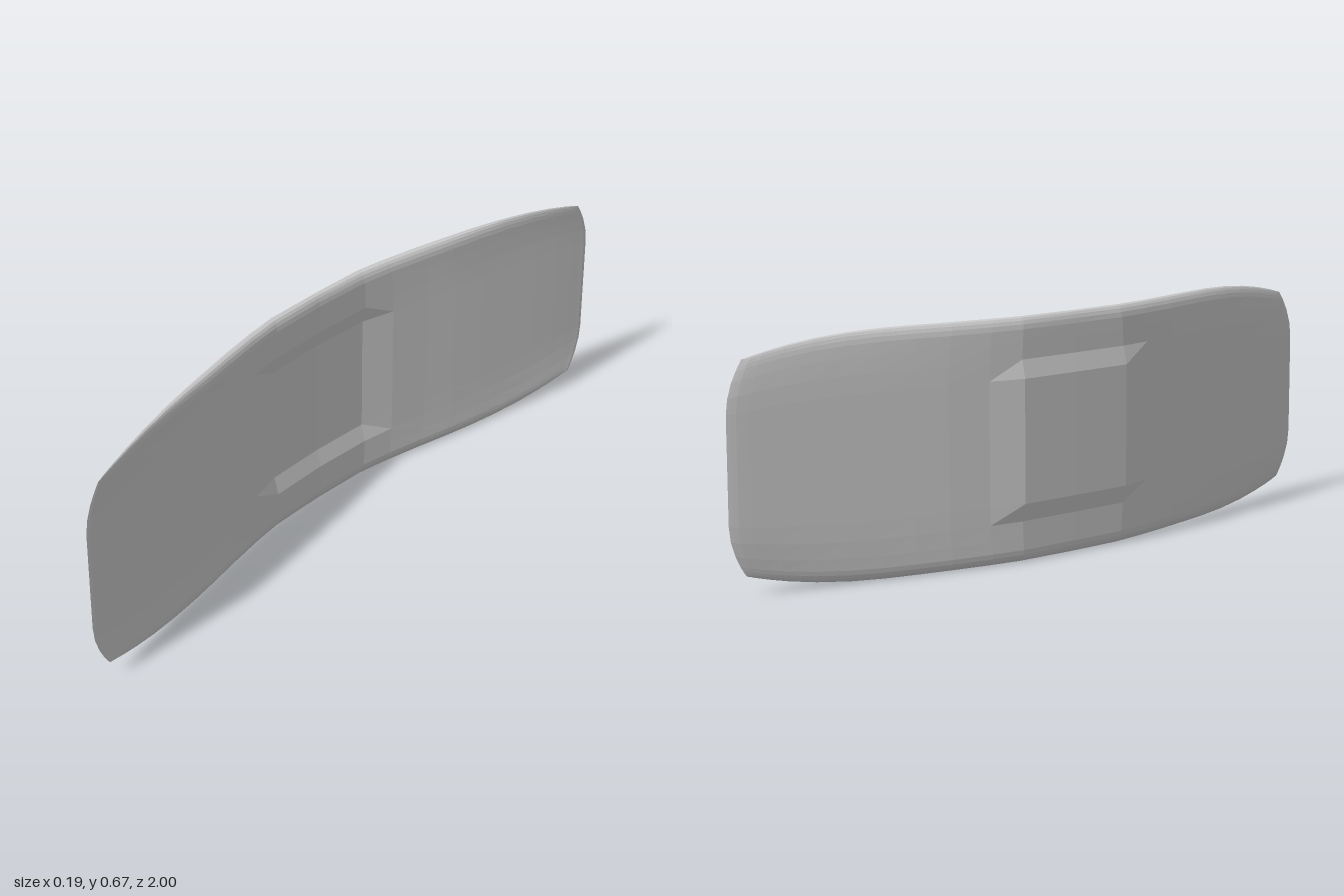
import * as THREE from 'three';

// Curved panel in plan: [z, outer x, inner x], mirrored about z = 0
const PLAN = [
  [0, -0.083, -0.05], [0.18, -0.082, -0.044], [0.28, -0.068, -0.03], [0.4, -0.046, -0.008],
  [0.5, -0.024, 0.012], [0.6, -0.001, 0.03], [0.7, 0.022, 0.047], [0.8, 0.045, 0.064],
  [0.88, 0.063, 0.077], [0.94, 0.076, 0.086], [0.975, 0.084, 0.091], [0.99, 0.088, 0.094], [1, 0.09, 0.095],
];
const ROWS = [0, 0.51, 0.66, 0.8, 0.9, 0.94, 0.97, 0.99, 1];
const HALF_H = 0.337, DENT = 0.013;

const ramp = (v, a, b) => THREE.MathUtils.clamp((b - v) / (b - a), 0, 1);
const past = (v, start) => Math.max(0, (v - start) / (1 - start));
// quarter-round thickness falloff near the rim
const roundEdge = (v, r) => Math.sqrt(Math.max(0, 1 - past(v, 1 - r) ** 2));
const mirror = (list, flip) => [...list.slice(1).reverse().map(flip), ...list];

function point([s, outer, inner], t, side) {
  const as = Math.abs(s), at = Math.abs(t);
  // softened rectangular outline
  const y = HALF_H * (1 + t * (1 - 0.16 * past(as, 0.5) ** 2.6));
  const z = s * (1 - 0.05 * past(at, 0.5) ** 2);
  // thickness around the middle surface, plus the central pressed panel
  const w = roundEdge(at, 0.11) * roundEdge(as, 0.04);
  const dent = DENT * ramp(as, 0.18, 0.28) * ramp(at, 0.51, 0.66);
  const x = (outer + inner) / 2 + side * w * (inner - outer) / 2 - dent;
  return [x, y, z];
}

function panelGeometry() {
  const cols = mirror(PLAN, ([z, o, i]) => [-z, o, i]);
  const rows = mirror(ROWS, (t) => -t);
  const positions = [], index = [];
  for (const side of [1, -1]) {
    const base = positions.length / 3;
    for (const c of cols) for (const t of rows) positions.push(...point(c, t, side));
    for (let i = 0; i < cols.length - 1; i++) {
      for (let j = 0; j < rows.length - 1; j++) {
        const a = base + i * rows.length + j, b = a + 1;
        const d = a + rows.length, c = d + 1;
        if (side > 0) index.push(a, b, c, a, c, d);
        else index.push(a, c, b, a, d, c);
      }
    }
  }
  const geometry = new THREE.BufferGeometry();
  geometry.setAttribute('position', new THREE.Float32BufferAttribute(positions, 3));
  geometry.setIndex(index);
  geometry.computeVertexNormals();
  return geometry;
}

export function createModel() {
  const group = new THREE.Group();
  group.name = 'curvedBackrest';
  const material = new THREE.MeshStandardMaterial({ color: 0xcccccc, flatShading: true });
  const panel = new THREE.Mesh(panelGeometry(), material);
  panel.name = 'backrestPanel';
  group.add(panel);
  return group;
}
